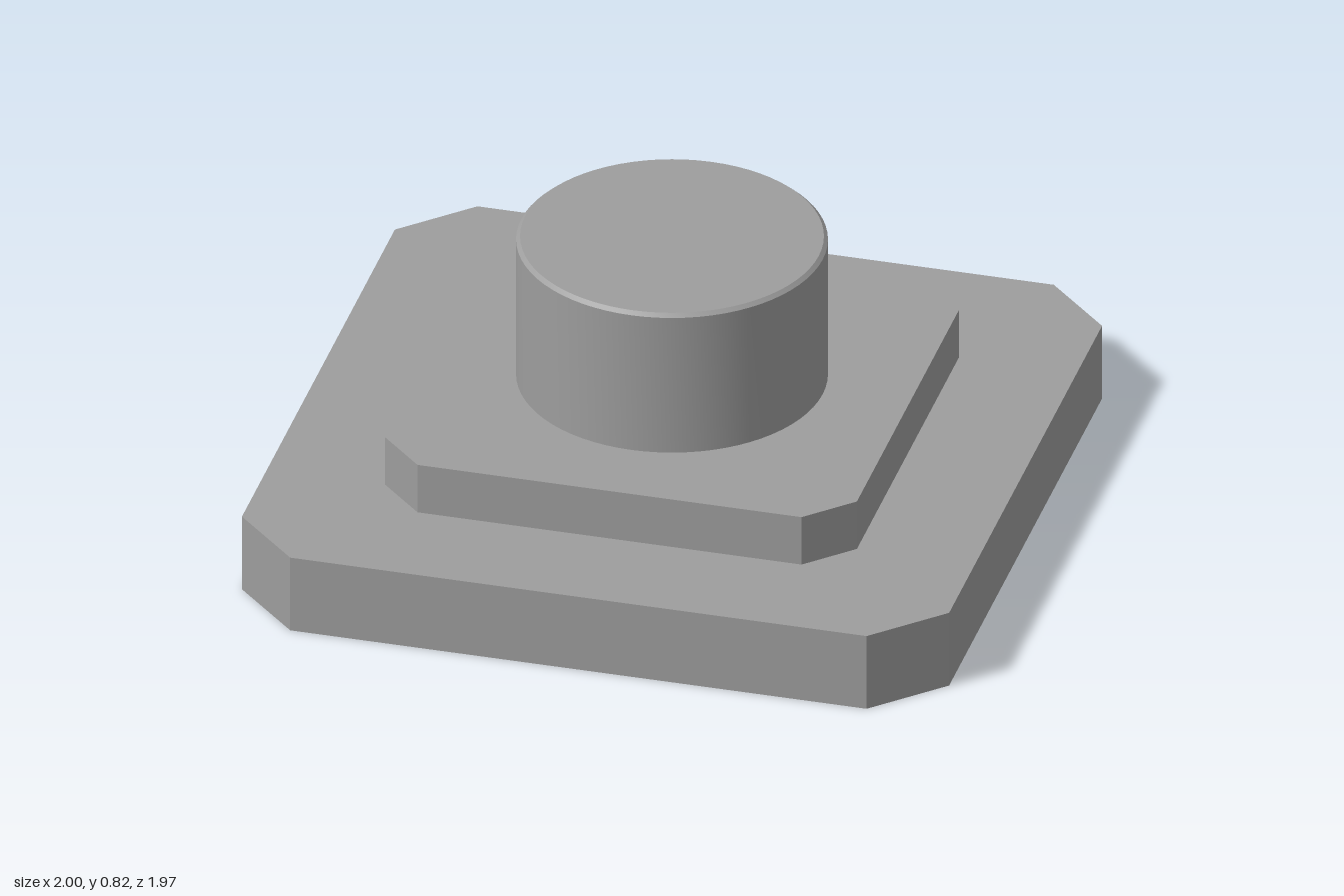
import * as THREE from 'three';
import { toCreasedNormals } from 'three/addons/utils/BufferGeometryUtils.js';

const material = new THREE.MeshStandardMaterial({ color: 0x9d9d9d });

// Rectangular plate with cut corners: half sizes hx, hz; cuts start at cx, cz
function plate(name, hx, hz, cx, cz, bottom, top) {
  const outline = [
    [cx, -hz], [hx, -cz], [hx, cz], [cx, hz],
    [-cx, hz], [-hx, cz], [-hx, -cz], [-cx, -hz],
  ].map(([x, y]) => new THREE.Vector2(x, y));
  const geometry = new THREE.ExtrudeGeometry(new THREE.Shape(outline), {
    depth: top - bottom, bevelEnabled: false,
  });
  geometry.rotateX(-Math.PI / 2);
  const mesh = new THREE.Mesh(geometry, material);
  mesh.name = name;
  mesh.position.y = bottom;
  return mesh;
}

export function createModel() {
  const group = new THREE.Group();
  group.name = 'steppedPedestal';

  // Two stacked plates
  group.add(plate('basePlate', 1, 0.983, 0.815, 0.803, 0, 0.23));
  group.add(plate('upperPlate', 0.667, 0.656, 0.543, 0.535, 0.23, 0.38));

  // Round post with a small chamfer on its top rim
  const profile = [[0, 0.38], [0.426, 0.38], [0.426, 0.806], [0.415, 0.816], [0, 0.816]]
    .map(([r, y]) => new THREE.Vector2(r, y));
  const post = new THREE.Mesh(
    toCreasedNormals(new THREE.LatheGeometry(profile, 72), 0.5), material);
  post.name = 'post';
  group.add(post);

  return group;
}
